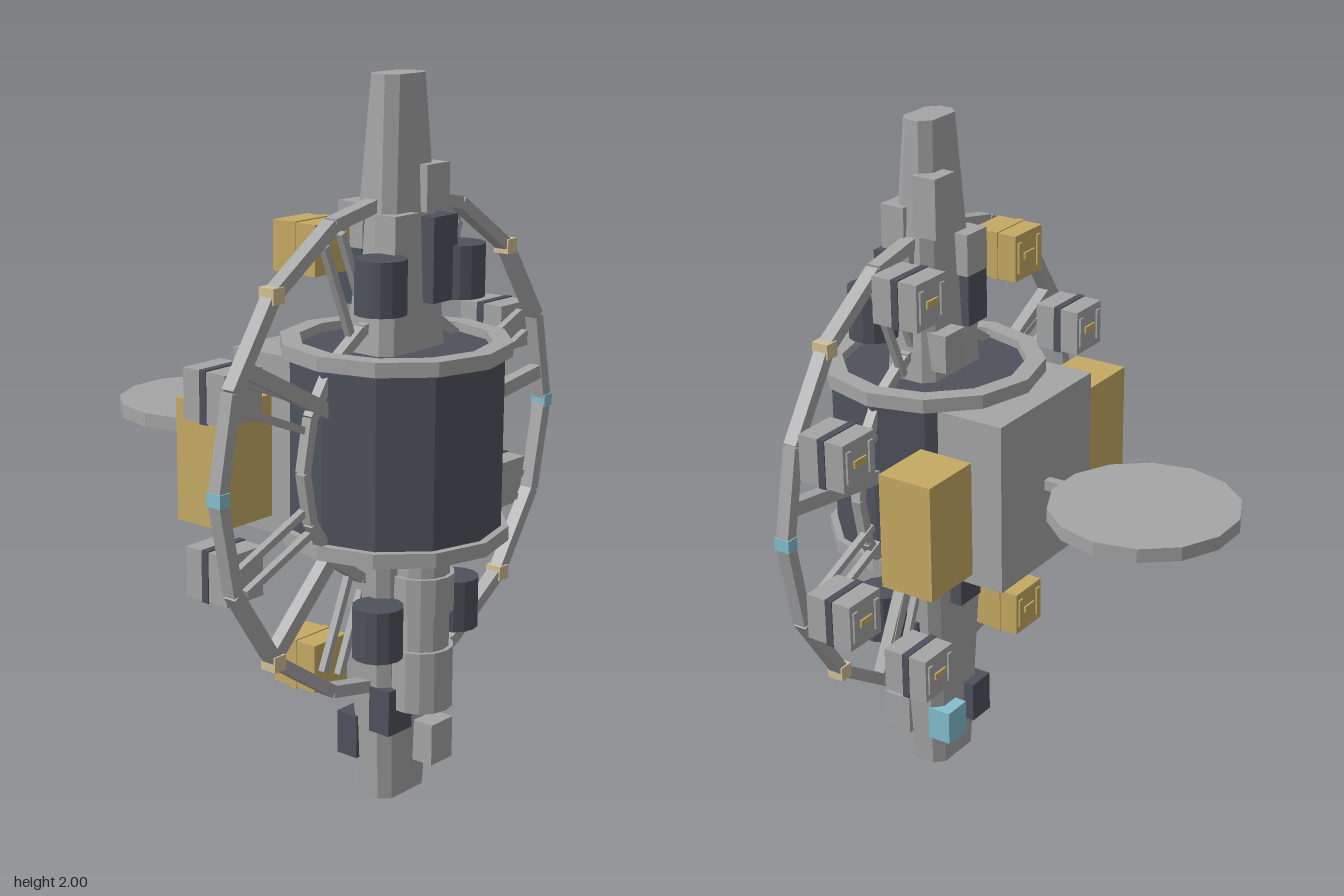
import * as THREE from 'three';

export function createModel() {
  const model = new THREE.Group();
  model.name = 'spaceStation';
  const mat = (name, color) => {
    const m = new THREE.MeshStandardMaterial({ color, flatShading: true });
    m.name = name;
    return m;
  };
  const grey = mat('hullGrey', 0xa5a5a5);
  const dark = mat('darkSlate', 0x4e525d);
  const gold = mat('goldFoil', 0xc6aa63);
  const cyan = mat('paleCyan', 0x83bfd0);
  const cream = mat('cream', 0xd3c095);
  const ZC = 0.32; // depth of the ring plane and spine

  const add = (name, geo, m, x = 0, y = 0, z = 0) => {
    const mesh = new THREE.Mesh(geo, m);
    mesh.name = name;
    mesh.position.set(x, y, z);
    model.add(mesh);
    return mesh;
  };
  // box given by its limits on each axis
  const box = (name, m, x0, x1, y0, y1, z0, z1) =>
    add(name, new THREE.BoxGeometry(x1 - x0, y1 - y0, z1 - z0), m, (x0 + x1) / 2, (y0 + y1) / 2, (z0 + z1) / 2);
  // upright prism
  const prism = (name, m, r, y0, y1, x, z, sides, turn = 0) =>
    add(name, new THREE.CylinderGeometry(r, r, y1 - y0, sides, 1, false, turn), m, x, (y0 + y1) / 2, z);
  // straight beam in the ring plane; points are polar (radius, angle, sideways offset)
  const beam = (name, r0, a0, r1, a1, w, d, off = 0, z = ZC) => {
    const at = (r, a) => [r * Math.cos(a) - off * Math.sin(a), 1 + r * Math.sin(a) + off * Math.cos(a)];
    const [ax, ay] = at(r0, a0), [bx, by] = at(r1, a1);
    const len = Math.hypot(bx - ax, by - ay);
    const b = add(name, new THREE.BoxGeometry(len, w, d), grey, (ax + bx) / 2, (ay + by) / 2, z);
    b.rotation.z = Math.atan2(by - ay, bx - ax);
  };

  // Tapered spine with chamfered section, one half mirrored to the other
  const spineHalf = (yIn, yOut, wIn, dIn, wOut, dOut) => {
    const g = new THREE.BufferGeometry();
    const section = (w, d, y) => {
      const c = 0.028;
      return [[w, d - c], [w, c - d], [w - c, -d], [c - w, -d], [-w, c - d], [-w, d - c], [c - w, d], [w - c, d]]
        .map(([x, z]) => [x, y, z]);
    };
    const [lo, hi] = yIn < yOut
      ? [section(wIn, dIn, yIn), section(wOut, dOut, yOut)]
      : [section(wOut, dOut, yOut), section(wIn, dIn, yIn)];
    const p = [];
    for (let i = 0; i < 8; i++) {
      const j = (i + 1) % 8;
      p.push(...lo[i], ...lo[j], ...hi[j], ...lo[i], ...hi[j], ...hi[i]);
      if (i > 0 && i < 7) p.push(...hi[0], ...hi[i], ...hi[j], ...lo[0], ...lo[j], ...lo[i]);
    }
    g.setAttribute('position', new THREE.Float32BufferAttribute(p, 3));
    g.computeVertexNormals();
    add('spine', g, grey, 0, 0, ZC);
  };
  spineHalf(1.2, 2, 0.14, 0.085, 0.08, 0.048);
  spineHalf(0.85, 0, 0.145, 0.085, 0.095, 0.06);

  // Central drum with rims around its recessed ends
  prism('drum', dark, 0.295, 0.775, 1.275, 0, ZC, 12);
  const profile = [[0.262, 0], [0.316, 0], [0.316, 0.04], [0.262, 0.04], [0.262, 0]].map(([x, y]) => new THREE.Vector2(x, y));
  for (const y of [0.75, 1.26]) add('drumRim', new THREE.LatheGeometry(profile, 12), grey, 0, y, ZC);

  // Rear block, side tanks and dish
  box('rearBlock', grey, -0.23, 0.23, 0.755, 1.255, -0.06, 0.15);
  for (const s of [-1, 1])
    add('sideTank', new THREE.BoxGeometry(0.19, 0.335, 0.165), gold, s * 0.4, 1.003, 0.068);
  box('dishStem', grey, -0.014, 0.014, 0.985, 1.015, -0.13, -0.05);
  prism('dish', grey, 0.268, 0.98, 1.02, 0, -0.375, 14, Math.PI / 14);

  // Outer and inner rings of straight beams
  for (let i = 0; i < 16; i++) {
    const a = i * Math.PI / 8, b = (i + 1) * Math.PI / 8;
    beam('outerRing', 0.685, a, 0.685, b, 0.034, 0.04);
    beam('innerRing', 0.37, a, 0.37, b, 0.028, 0.03);
  }
  // Ring nodes
  for (const s of [-1, 1]) {
    add('ringLamp', new THREE.BoxGeometry(0.036, 0.036, 0.048), cyan, s * 0.684, 1, ZC);
    for (const t of [-1, 1])
      add('ringNode', new THREE.BoxGeometry(0.042, 0.042, 0.05), cream, s * 0.485, 1 + t * 0.485, ZC);
  }
  // Main spokes
  for (let i = 0; i < 5; i++) {
    const a = (8 + 72 * i) * Math.PI / 180;
    beam('spoke', 0.27, a, 0.67, a, 0.04, 0.035);
  }

  // Cargo modules behind the ring, each held by a pair of thin arms
  for (let i = 0; i < 8; i++) {
    const a = (i + 0.5) * Math.PI / 4;
    const x = 0.615 * Math.cos(a), y = 1 + 0.615 * Math.sin(a);
    const foil = Math.abs(x) < 0.4 && x < 0;
    const m = foil ? gold : grey;
    const h = 0.067;
    box('module', m, x - h, x + h, y - h, y + h, 0.155, 0.3);
    box('moduleBand', foil ? gold : dark, x - h - 0.003, x + h + 0.003, y - h - 0.003, y + h + 0.003, 0.214, 0.236);
    box('modulePlate', gold, x - 0.025, x + 0.025, y - 0.01, y + 0.01, 0.149, 0.155);
    for (const s of [-1, 1])
      box('moduleLug', m, x + s * 0.047 - 0.009, x + s * 0.047 + 0.009, y - 0.045, y + 0.045, 0.149, 0.156);
    for (const off of [-0.035, 0.035]) beam('moduleArm', 0.34, a, 0.64, a, 0.02, 0.02, off, 0.31);
  }

  // Round dark tanks beside the spine
  for (const x of [-0.165, 0.165])
    for (const y of [0.46, 1.4]) prism('roundTank', dark, 0.07, y, y + 0.145, x, 0.405, 14);

  // Docked cylinder on the lower front
  prism('dockedCore', grey, 0.08, 0.4, 0.76, 0, 0.42, 14);
  prism('dockedCylinder', grey, 0.092, 0.28, 0.455, 0, 0.42, 14);
  prism('dockedCollar', grey, 0.092, 0.56, 0.665, 0, 0.42, 14);
  prism('dockedCollar', grey, 0.092, 0.7, 0.755, 0, 0.42, 14);

  // Equipment boxes along the spine
  const kit = [
    [grey, -0.115, -0.02, 1.525, 1.645, 0.34, 0.41],
    [grey, 0.02, 0.115, 1.64, 1.765, 0.33, 0.405],
    [dark, 0.02, 0.12, 1.4, 1.63, 0.34, 0.43],
    [grey, 0.02, 0.112, 1.69, 1.86, 0.225, 0.3],
    [grey, -0.115, -0.02, 1.55, 1.67, 0.215, 0.3],
    [grey, 0.02, 0.112, 1.31, 1.42, 0.2, 0.28],
    [dark, -0.12, -0.03, 1.4, 1.55, 0.22, 0.3],
    [grey, 0.02, 0.112, 0.09, 0.21, 0.36, 0.45],
    [dark, -0.12, -0.02, 0.21, 0.34, 0.34, 0.41],
    [cyan, 0.02, 0.11, 0.1, 0.205, 0.215, 0.29],
    [dark, -0.115, -0.025, 0.11, 0.235, 0.22, 0.29],
    [dark, -0.05, 0.05, 0.55, 0.7, 0.205, 0.28],
    [dark, 0.09, 0.135, 0.32, 0.5, 0.305, 0.34],
  ];
  for (const [m, ...limits] of kit) box('equipmentBox', m, ...limits);

  return model;
}
